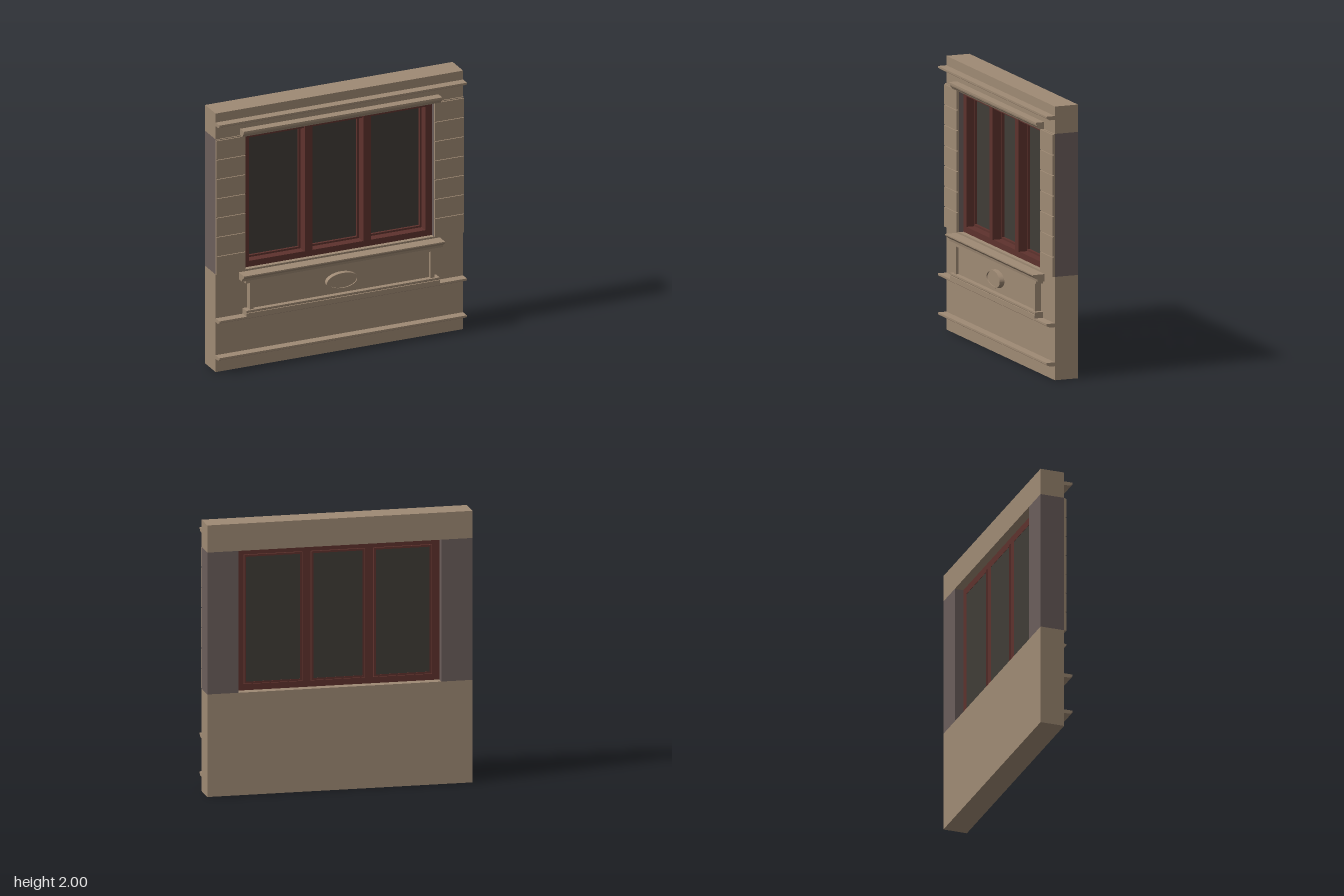
import * as THREE from 'three';

const mat = (name, color, extra = {}) => {
  const m = new THREE.MeshStandardMaterial({ color, ...extra });
  m.name = name;
  return m;
};

export function createModel() {
  const model = new THREE.Group();
  model.name = 'windowWall';
  const plaster = mat('tan plaster', 0x9f8a74);
  const pier = mat('grey pier', 0x6b5e5b);
  const wood = mat('red brown wood', 0x5e322d);
  const glass = mat('dark glass', 0x403c36);

  const add = (name, geo, material, parent = model) => {
    const mesh = new THREE.Mesh(geo, material);
    mesh.name = name;
    parent.add(mesh);
    return mesh;
  };
  // Box given by its limits on each axis
  const box = (name, [x0, x1], [y0, y1], [z0, z1], material, parent) => {
    const g = new THREE.BoxGeometry(x1 - x0, y1 - y0, z1 - z0);
    g.translate((x0 + x1) / 2, (y0 + y1) / 2, (z0 + z1) / 2);
    return add(name, g, material, parent);
  };
  // Moulding: a (z, y) profile run along x, centred
  const moulding = (name, halfWidth, profile, y = 0) => {
    const shape = new THREE.Shape(profile.map(([z, h]) => new THREE.Vector2(z, h + y)));
    const g = new THREE.ExtrudeGeometry(shape, { depth: halfWidth * 2, bevelEnabled: false });
    g.translate(0, 0, -halfWidth);
    g.rotateY(-Math.PI / 2);
    return add(name, g, plaster);
  };

  // Wall around the opening
  const W = 0.973, O = 0.745, B = -0.135, F = 0.045;
  const y0 = 0.755, y1 = 1.8;
  box('lowerWall', [-W, W], [0, y0], [B, F], plaster);
  box('upperWall', [-W, W], [y1, 2], [B, F], plaster);
  for (const s of [-1, 1]) {
    const span = (a, b) => (s > 0 ? [a, b] : [-b, -a]);
    box('sidePier', span(O, W), [y0, y1], [B, F], pier);
    // Siding boards with narrow grooves between them
    const step = (y1 - y0) / 7;
    box('sidingBacking', span(O, W), [y0, y1], [F, 0.054], plaster);
    for (let i = 0; i < 7; i++) {
      box('sidingBoard', span(O, W), [y0 + i * step, y0 + (i + 1) * step - 0.007], [0.054, 0.064], plaster);
    }
  }

  // Full-width string courses
  const course = [[F, 0], [0.085, 0], [0.098, 0.006], [0.102, 0.012], [0.11, 0.014], [0.11, 0.028], [F, 0.028]];
  for (const y of [0.103, 0.388, 1.903]) moulding('stringCourse', W, course, y);

  // Window head moulding and sill
  moulding('headMoulding', 0.78,
    [[F, 1.8], [0.083, 1.8], [0.09, 1.812], [0.1, 1.822], [0.103, 1.833], [0.11, 1.836], [0.11, 1.85], [F, 1.85]]);
  moulding('sill', 0.79,
    [[F, 0.688], [0.1, 0.688], [0.103, 0.706], [0.112, 0.712], [0.125, 0.722], [0.135, 0.732], [0.135, 0.741], [F, 0.741]]);

  // Apron panel under the sill
  box('apronCap', [-0.76, 0.76], [0.668, 0.69], [F, 0.1], plaster);
  box('apronPanel', [-0.71, 0.71], [0.44, 0.67], [F, 0.07], plaster);
  box('apronBase', [-0.76, 0.76], [0.416, 0.44], [F, 0.11], plaster);
  moulding('apronBaseTop', 0.76, [[F, 0.44], [0.1, 0.44], [0.108, 0.446], [0.108, 0.46], [F, 0.46]]);
  for (const s of [-1, 1]) {
    box('apronPilaster', [s * 0.71 - 0.015, s * 0.71 + 0.015], [0.46, 0.668], [F, 0.092], plaster);
  }

  // Oval medallion: raised rim around a shallow face
  const medallion = new THREE.Group();
  medallion.name = 'medallion';
  medallion.position.set(0, 0.56, 0);
  model.add(medallion);
  const rim = new THREE.Shape().absellipse(0, 0, 0.125, 0.064, 0, Math.PI * 2);
  rim.holes.push(new THREE.Path().absellipse(0, 0, 0.11, 0.051, 0, Math.PI * 2));
  const rimGeo = new THREE.ExtrudeGeometry(rim, { depth: 0.037, bevelEnabled: false, curveSegments: 40 });
  add('medallionRim', rimGeo.translate(0, 0, 0.07), plaster, medallion);
  const face = new THREE.Shape().absellipse(0, 0, 0.111, 0.052, 0, Math.PI * 2);
  const faceGeo = new THREE.ExtrudeGeometry(face, { depth: 0.028, bevelEnabled: false, curveSegments: 40 });
  add('medallionFace', faceGeo.translate(0, 0, 0.07), plaster, medallion);

  // Window frame
  const win = new THREE.Group();
  win.name = 'window';
  model.add(win);
  const fz = [-0.07, 0.01];
  box('frameBottom', [-O, O], [y0, 0.8], fz, wood, win);
  box('frameTop', [-O, O], [1.755, y1], fz, wood, win);
  for (const s of [-1, 1]) {
    box('frameJamb', s > 0 ? [0.693, O] : [-O, -0.693], [0.8, 1.755], fz, wood, win);
    box('mullion', [s * 0.23 - 0.03, s * 0.23 + 0.03], [0.8, 1.78], [-0.07, 0.02], wood, win);
  }

  // Three sashes, each with a thin border and a pane, slightly clear of the frame
  for (const [a, b] of [[-0.693, -0.26], [-0.2, 0.2], [0.26, 0.693]]) {
    const l = a + 0.005, r = b - 0.005, lo = 0.804, hi = 1.752, t = 0.014;
    const sz = [-0.074, -0.045];
    box('sashStile', [l, l + t], [lo, hi], sz, wood, win);
    box('sashStile', [r - t, r], [lo, hi], sz, wood, win);
    box('sashRail', [l + t, r - t], [lo, lo + t], sz, wood, win);
    box('sashRail', [l + t, r - t], [hi - t, hi], sz, wood, win);
    box('pane', [l + t, r - t], [lo + t, hi - t], [-0.072, -0.064], glass, win);
  }

  return model;
}
